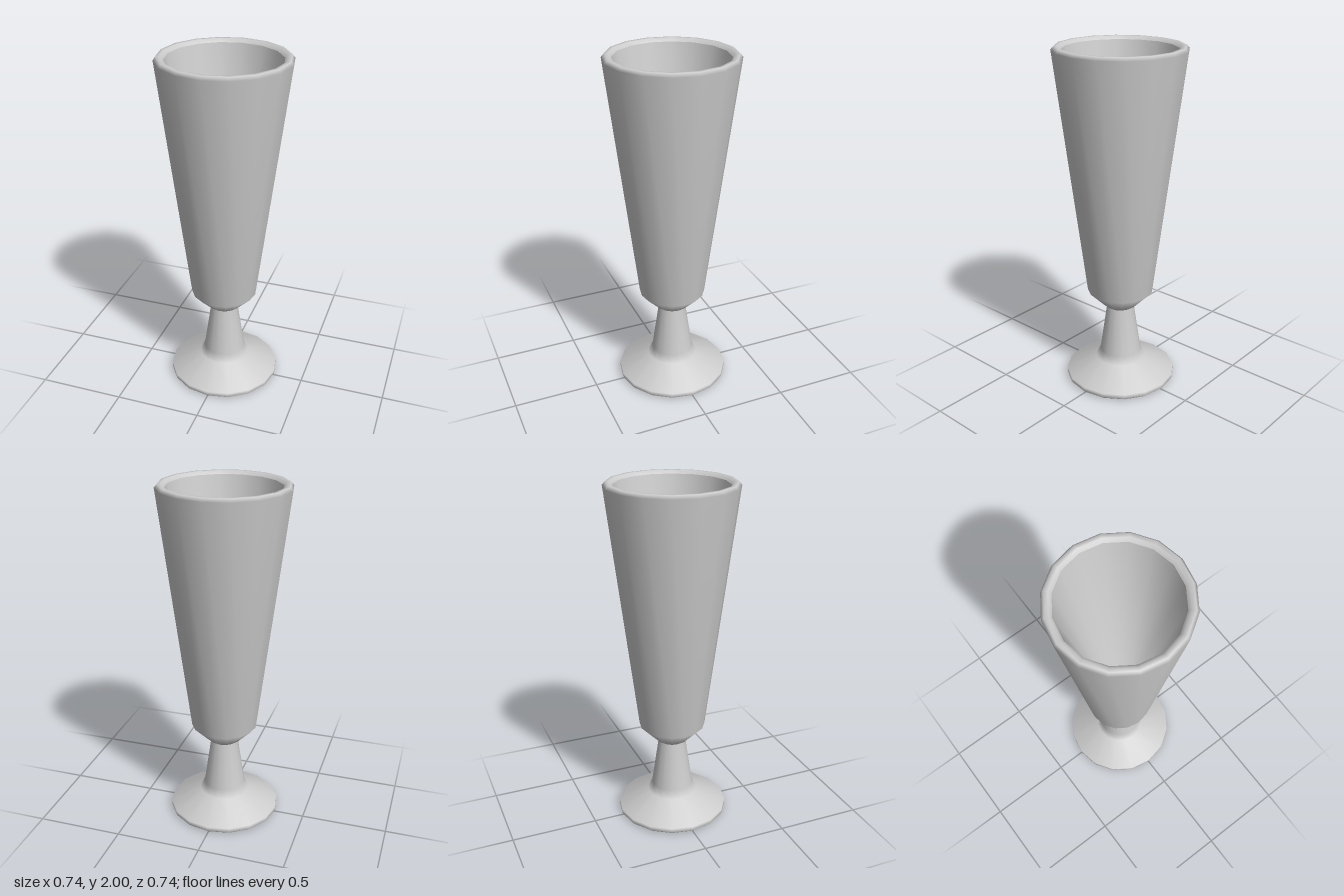
import * as THREE from 'three';
import { mergeVertices } from 'three/addons/utils/BufferGeometryUtils.js';

const SIDES = 16;

// Turned surface with smooth shared normals, also across the seam and the poles
function turned(name, profile) {
  const points = profile.map(([r, y]) => new THREE.Vector2(r, y));
  let geometry = new THREE.LatheGeometry(points, SIDES);
  geometry.deleteAttribute('normal');
  geometry.deleteAttribute('uv');
  geometry = mergeVertices(geometry, 1e-4);
  geometry.computeVertexNormals();
  const mesh = new THREE.Mesh(geometry, new THREE.MeshStandardMaterial({ color: 0xcccccc }));
  mesh.name = name;
  return mesh;
}

export function createModel() {
  const glass = new THREE.Group();
  glass.name = 'flute';

  // Round foot with a thin edge, rising into the tapered stem
  glass.add(turned('footAndStem', [
    [0, 0], [0.315, 0], [0.326, 0.01], [0.326, 0.036],
    [0.148, 0.123], [0.122, 0.17], [0.08, 0.462],
  ]));

  // Outer bowl wall, ending in the bevelled rim
  glass.add(turned('bowl', [
    [0.08, 0.46], [0.1, 0.474], [0.193, 0.568], [0.37, 1.982],
    [0.355, 2], [0.333, 2], [0.317, 1.982],
  ]));

  // Conical hollow inside the bowl
  glass.add(turned('bowlInterior', [[0.317, 1.982], [0, 0.56]]));

  return glass;
}
